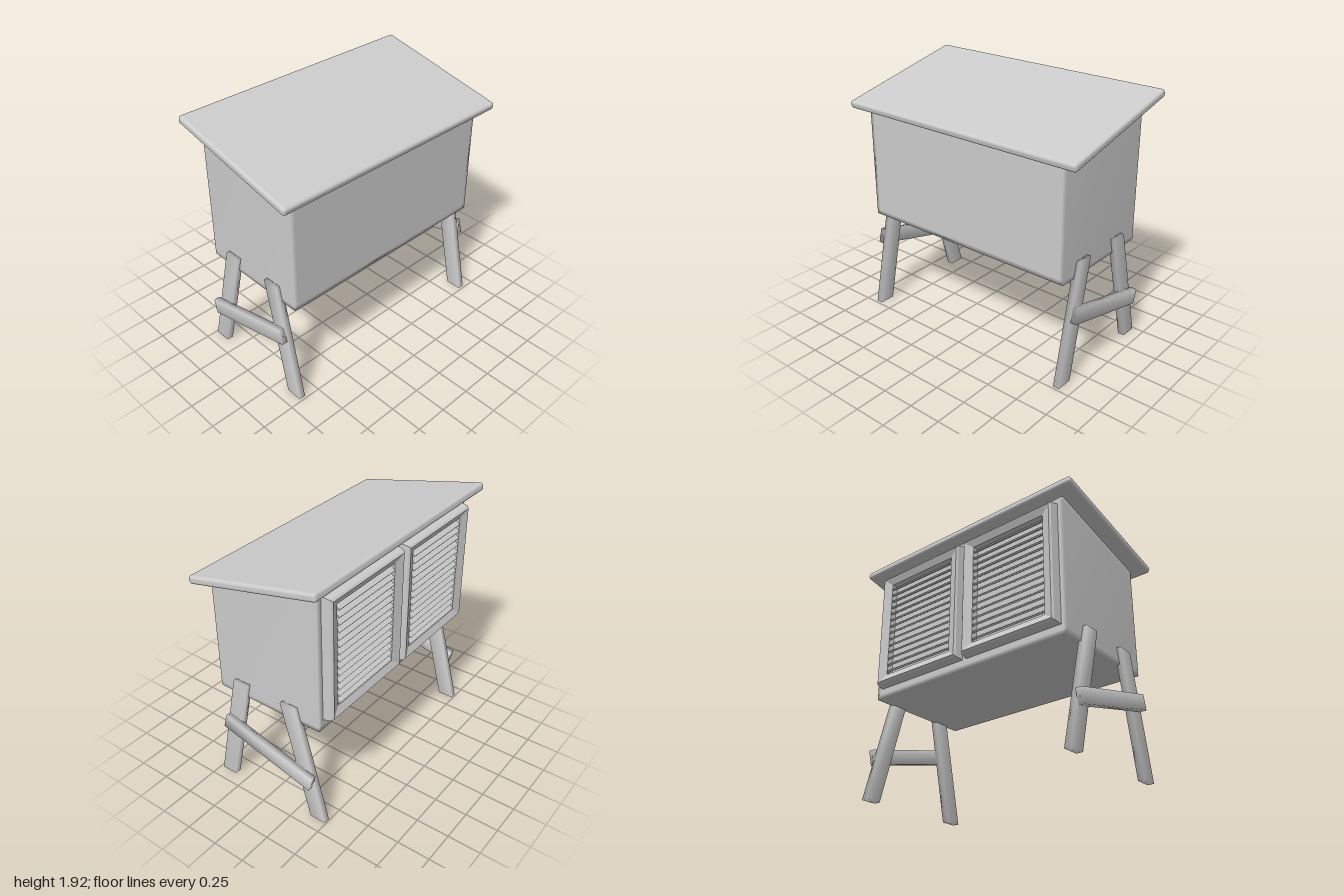
import * as THREE from 'three';
import { mergeVertices } from 'three/addons/utils/BufferGeometryUtils.js';
import { RoundedBoxGeometry } from 'three/addons/geometries/RoundedBoxGeometry.js';

const grey = new THREE.MeshStandardMaterial({ color: 0xcccccc });
const SLOPE = 0.218; // roof pitch in radians

function add(parent, geometry, name) {
  const mesh = new THREE.Mesh(geometry, grey);
  mesh.name = name;
  parent.add(mesh);
  return mesh;
}

// Share corner vertices so the shading runs softly over the edges
function soften(geometry) {
  geometry.deleteAttribute('normal');
  geometry.deleteAttribute('uv');
  const g = mergeVertices(geometry, 1e-4);
  g.computeVertexNormals();
  return g;
}

// Flat board: outline in x/y, thickness from z0 to z1
function board(points, z0, z1) {
  const shape = new THREE.Shape(points.map(([x, y]) => new THREE.Vector2(x, y)));
  const g = new THREE.ExtrudeGeometry(shape, { depth: z1 - z0, bevelEnabled: false });
  g.translate(0, 0, z0);
  return soften(g);
}

// Skin over rectangular rings [x, half height, half width] facing -x
function rectLoft(rings) {
  const pos = [];
  const corner = ([x, h, w], i) => [x, [-h, -h, h, h][i % 4], [-w, w, w, -w][i % 4]];
  for (let r = 0; r < rings.length - 1; r++) {
    for (let i = 0; i < 4; i++) {
      const a = corner(rings[r], i), b = corner(rings[r], i + 1);
      const c = corner(rings[r + 1], i + 1), d = corner(rings[r + 1], i);
      pos.push(...a, ...b, ...c, ...a, ...c, ...d);
    }
  }
  // Panel closing the last ring
  const [a, b, c, d] = [0, 1, 2, 3].map((i) => corner(rings[rings.length - 1], i));
  pos.push(...a, ...b, ...c, ...a, ...c, ...d);
  const g = new THREE.BufferGeometry();
  g.setAttribute('position', new THREE.Float32BufferAttribute(pos, 3));
  g.computeVertexNormals();
  return g;
}

// Cabinet with support loops near its long edges and a sloping top
function bodyGeometry() {
  const g = new THREE.BoxGeometry(0.87, 1, 1.76, 1, 3, 3);
  const p = g.attributes.position;
  for (let i = 0; i < p.count; i++) {
    const x = p.getX(i), z = p.getZ(i), t = p.getY(i) + 0.5;
    const top = 1.757 - x * Math.tan(SLOPE);
    const y = t < 0.1 ? 0.785 : t < 0.5 ? 0.82 : t < 0.9 ? top - 0.04 : top;
    p.setY(i, y);
    if (Math.abs(z) < 0.5) p.setZ(i, Math.sign(z) * 0.85);
  }
  return soften(g);
}

// Louvred door: framed panel with tilted slats
function louvredDoor() {
  const door = new THREE.Group();
  door.name = 'louvredDoor';
  add(door, rectLoft([
    [-0.43, 0.47, 0.41],
    [-0.497, 0.458, 0.398],
    [-0.51, 0.445, 0.385],
    [-0.485, 0.39, 0.315],
    [-0.445, 0.385, 0.305],
  ]), 'doorFrame');
  const slats = 14, pitch = 0.77 / slats;
  for (let i = 0; i < slats; i++) {
    const slat = add(door, new THREE.BoxGeometry(0.058, 0.014, 0.61), 'slat');
    slat.position.set(-0.468, -0.385 + (i + 0.5) * pitch, 0);
    slat.rotation.z = 0.65;
  }
  return door;
}

// End trestle: two splayed legs joined by a slanting brace
function trestle(side) {
  const group = new THREE.Group();
  group.name = side > 0 ? 'frontTrestle' : 'backTrestle';
  const place = (points, near, far, name) =>
    add(group, board(points, Math.min(side * near, side * far), Math.max(side * near, side * far)), name);
  place([[-0.49, 0], [-0.365, 0], [-0.13, 0.905], [-0.255, 0.905]], 0.86, 0.91, 'rightLeg');
  place([[0.355, 0], [0.48, 0], [0.285, 0.905], [0.16, 0.905]], 0.86, 0.91, 'leftLeg');
  place([[-0.39, 0.29], [0.375, 0.485], [0.347, 0.595], [-0.417, 0.4]], 0.908, 0.955, 'brace');
  return group;
}

export function createModel() {
  const model = new THREE.Group();
  model.name = 'raisedLouvredCabinet';

  add(model, bodyGeometry(), 'body');

  // Pitched roof slab with rounded edges
  const roof = add(model, new RoundedBoxGeometry(1.07, 0.06, 2, 3, 0.022), 'roof');
  roof.position.y = 1.775;
  roof.rotation.z = -SLOPE;

  for (const side of [1, -1]) {
    const door = louvredDoor();
    door.position.set(0, 1.33, side * 0.425);
    model.add(door, trestle(side));
  }
  return model;
}
